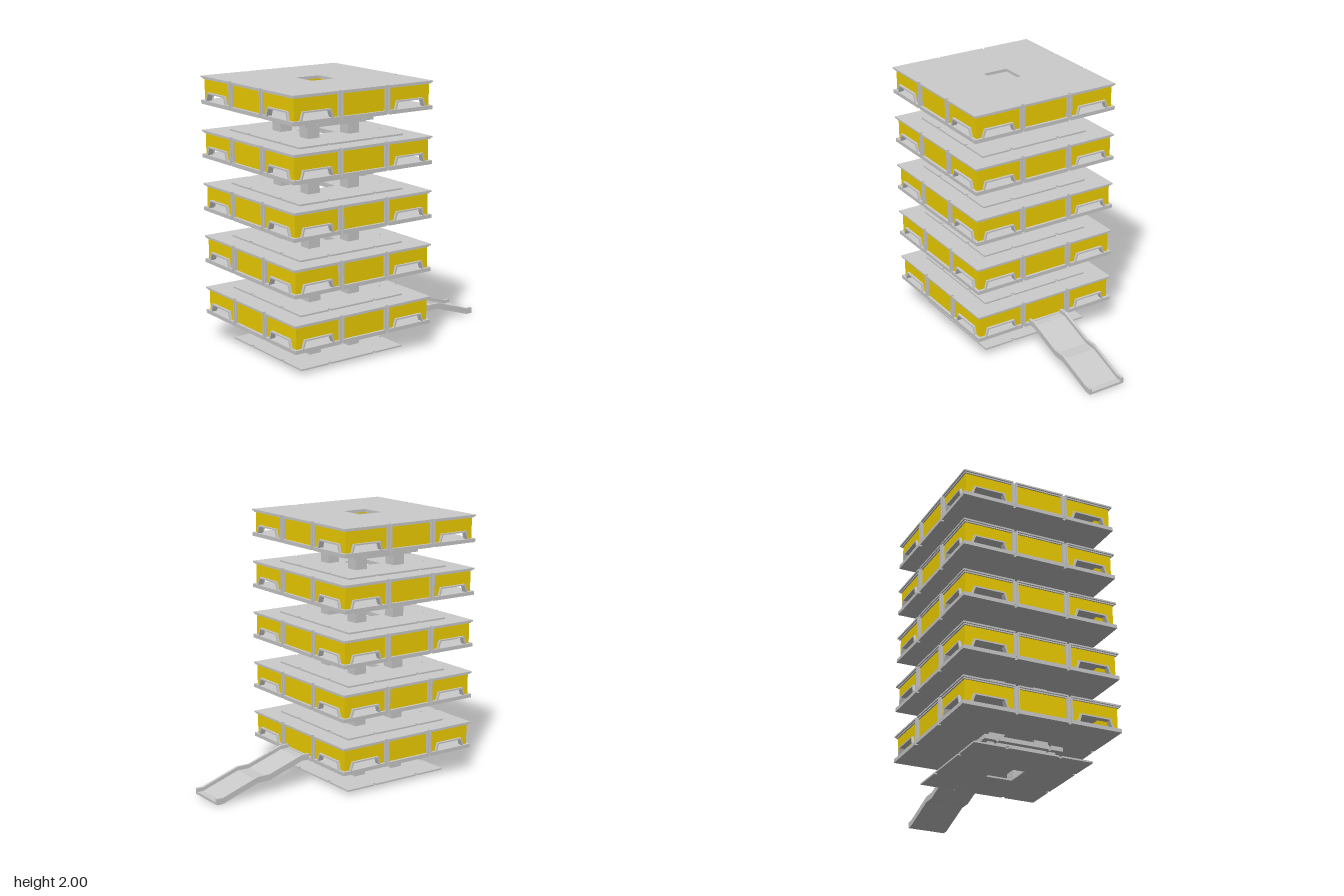
import * as THREE from 'three';

const GREY = new THREE.MeshStandardMaterial({ color: 0xcccccc, side: THREE.DoubleSide });
const YELLOW = new THREE.MeshStandardMaterial({ color: 0xf0d000, side: THREE.DoubleSide });

const polygon = pts => new THREE.Shape(pts.map(p => new THREE.Vector2(...p)));

function add(parent, name, geometry, material = GREY) {
  const mesh = new THREE.Mesh(geometry, material);
  mesh.name = name;
  parent.add(mesh);
  return mesh;
}

// Extrude a shape from z0 to z1
function slab(shape, z0, z1) {
  const g = new THREE.ExtrudeGeometry(shape, { depth: z1 - z0, bevelEnabled: false, curveSegments: 6 });
  return g.translate(0, 0, z0);
}

// Horizontal square plate with a shaft hole and small notches at +-0.2 on every edge
function plate(half, y0, y1, notch = 0.02) {
  const pts = [];
  const w = 0.01, d = half - notch;
  for (let k = 0; k < 4; k++) {
    const c = Math.round(Math.cos(k * Math.PI / 2)), s = Math.round(Math.sin(k * Math.PI / 2));
    const edge = [[-half, -half]];
    for (const x of [-0.2, 0.2]) edge.push([x - w, -half], [x - w, -d], [x + w, -d], [x + w, -half]);
    for (const [x, y] of edge) pts.push([x * c - y * s, x * s + y * c]);
  }
  const shape = polygon(pts);
  shape.holes.push(new THREE.Path([[-0.1, -0.1], [-0.1, 0.1], [0.1, 0.1], [0.1, -0.1]].map(p => new THREE.Vector2(...p))));
  return slab(shape, y0, y1).rotateX(-Math.PI / 2);
}

// Trapezoid window outline around x = cx, from bottom left over the top to bottom right
const windowLine = (cx, inset) => [
  [cx - 0.137 + inset, 0.218], [cx - 0.118 + inset, 0.285 - inset],
  [cx + 0.118 - inset, 0.285 - inset], [cx + 0.137 - inset, 0.218]];

// One facade of a storey: panel wall, window frames and grooved pillars
function facade() {
  const g = new THREE.Group();
  g.name = 'facade';
  const wall = polygon([[-0.579, 0.218], ...windowLine(-0.4, 0.005), ...windowLine(0.4, 0.005),
    [0.579, 0.218], [0.579, 0.388], [-0.579, 0.388]]);
  add(g, 'wallPanel', slab(wall, 0.56, 0.58), YELLOW);
  for (const cx of [-0.4, 0.4]) {
    const frame = polygon([...windowLine(cx, 0), ...windowLine(cx, 0.011).reverse()]);
    add(g, 'windowFrame', slab(frame, 0.555, 0.598));
  }
  for (const x of [-0.2, 0.2]) {
    add(g, 'pillarBack', new THREE.BoxGeometry(0.04, 0.17, 0.03).translate(x, 0.303, 0.568));
    for (const s of [-1, 1])
      add(g, 'pillarRib', new THREE.BoxGeometry(0.01, 0.17, 0.02).translate(x + s * 0.015, 0.303, 0.588));
  }
  return g;
}

// One side of the open core: two legs that curve inwards at the top
function coreSide() {
  const g = new THREE.Group();
  g.name = 'coreSide';
  for (const s of [-1, 1]) {
    const leg = new THREE.Shape();
    leg.moveTo(s * 0.225, 0.005);
    leg.lineTo(s * 0.125, 0.005);
    leg.lineTo(s * 0.125, 0.14);
    leg.quadraticCurveTo(s * 0.122, 0.175, s * 0.108, 0.2);
    leg.lineTo(s * 0.225, 0.2);
    add(g, 'coreLeg', slab(leg, 0.125, 0.225));
  }
  return g;
}

function storey() {
  const g = new THREE.Group();
  g.name = 'storey';
  add(g, 'basePad', plate(0.45, 0, 0.012));
  add(g, 'lowerCollar', plate(0.26, 0.095, 0.11));
  add(g, 'upperCollar', plate(0.3, 0.11, 0.142));
  add(g, 'floorPlate', plate(0.6, 0.194, 0.222));
  add(g, 'roofTrim', plate(0.59, 0.378, 0.388, 0.012));
  add(g, 'roofPlate', plate(0.6, 0.388, 0.4));
  for (let k = 0; k < 4; k++) {
    for (const side of [facade(), coreSide()]) {
      side.rotation.y = k * Math.PI / 2;
      g.add(side);
    }
  }
  return g;
}

// Stepped ramp: a deck with raised rails, following one side profile
function ramp() {
  const g = new THREE.Group();
  g.name = 'ramp';
  const path = [[-0.19, 0.2], [-0.26, 0.2], [-0.55, 0.105], [-0.65, 0.105], [-0.95, 0.005], [-1, 0.005]];
  const strip = (h, x0, x1) => {
    const shape = polygon([...path, ...path.map(([z, y]) => [z, y + h]).reverse()]);
    return slab(shape, -x1, -x0).rotateY(-Math.PI / 2);
  };
  add(g, 'rampDeck', strip(0.018, -0.14, 0.14));
  add(g, 'rampRail', strip(0.046, 0.13, 0.15));
  add(g, 'rampRail', strip(0.046, -0.15, -0.13));
  return g;
}

export function createModel() {
  const model = new THREE.Group();
  model.name = 'tower';
  for (let i = 0; i < 5; i++) {
    const s = storey();
    s.position.set(0, i * 0.4, 0.4);
    model.add(s);
  }
  model.add(ramp());
  return model;
}
